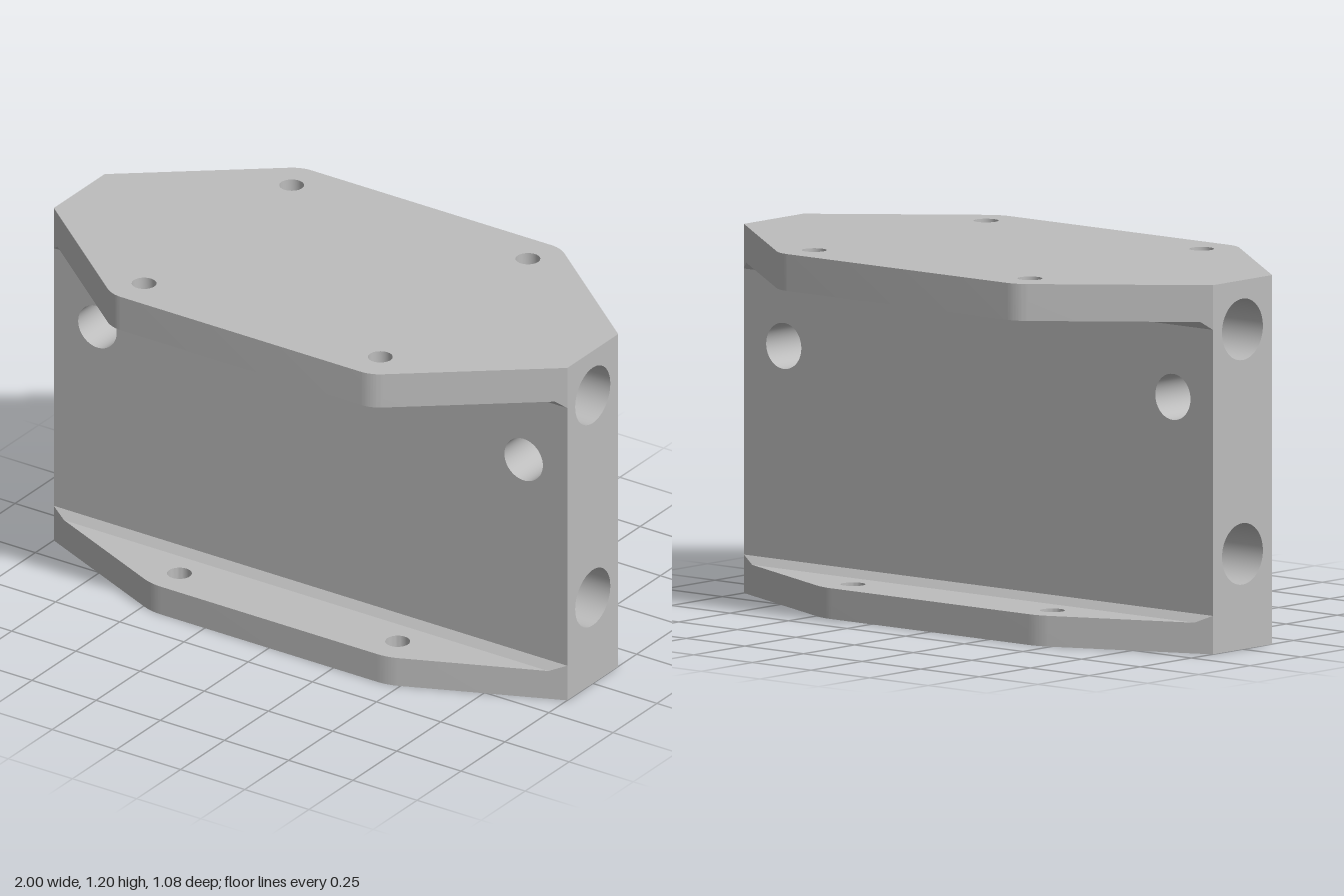
import * as THREE from 'three';
import { toCreasedNormals } from 'three/addons/utils/BufferGeometryUtils.js';

const HEIGHT = 1.2, WEB = 0.145, CHAMFER = 0.025;
const TOP = { low: 1.08, high: HEIGHT, corner: 0.505, depth: 0.542, holeX: 0.46, holeZ: 0.42 };
const BOTTOM = { low: 0, high: 0.1, corner: 0.46, depth: 0.382, holeX: 0.425, holeZ: 0.27 };
const CROSS_BORE = { x: 0.83, y: 0.82, r: 0.075 };
const LONG_BORES = [0.31, 1.04], LONG_R = 0.1;

const metal = new THREE.MeshStandardMaterial({ color: 0xbdbdbd });
metal.name = 'light grey metal';
const boreMetal = new THREE.MeshStandardMaterial({ color: 0xbdbdbd, side: THREE.DoubleSide });
boreMetal.name = 'light grey bore';

function addMesh(parent, name, geometry, material = metal) {
  const mesh = new THREE.Mesh(geometry, material);
  mesh.name = name;
  parent.add(mesh);
  return mesh;
}

function addHole(shape, x, y, r) {
  const hole = new THREE.Path();
  hole.absarc(x, y, r, 0, Math.PI * 2, true);
  shape.holes.push(hole);
}

function rectangle(x0, y0, x1, y1) {
  return new THREE.Shape([[x0, y0], [x1, y0], [x1, y1], [x0, y1]].map(p => new THREE.Vector2(...p)));
}

// Half of a flange: a trapezoid with two rounded corners and two screw holes
function flangeGeometry({ low, high, corner, depth, holeX, holeZ }) {
  const round = 0.04;
  const slant = new THREE.Vector2(1 - corner, WEB - depth).setLength(round);
  const s = new THREE.Shape();
  s.moveTo(-1, WEB);
  s.lineTo(1, WEB);
  s.lineTo(corner + slant.x, depth + slant.y);
  s.quadraticCurveTo(corner, depth, corner - round, depth);
  s.lineTo(-corner + round, depth);
  s.quadraticCurveTo(-corner, depth, -corner - slant.x, depth + slant.y);
  s.closePath();
  for (const x of [-holeX, holeX]) addHole(s, x, holeZ, 0.04);
  const g = new THREE.ExtrudeGeometry(s, { depth: high - low, bevelEnabled: false, curveSegments: 16 });
  g.rotateX(Math.PI / 2).translate(0, high, 0);
  return toCreasedNormals(g, 0.5);
}

// Triangular strip in the inner corner, its ends cut along the flange outline
function chamferGeometry({ corner, depth }) {
  const e = 1 - CHAMFER * (1 - corner) / (depth - WEB);
  const inner = s => [s, 0, WEB];
  const upper = s => [s, CHAMFER, WEB];
  const outer = s => [s * e, 0, WEB + CHAMFER];
  const points = [
    outer(-1), outer(1), upper(1), outer(-1), upper(1), upper(-1),
    inner(1), upper(1), outer(1), inner(-1), outer(-1), upper(-1),
  ];
  const g = new THREE.BufferGeometry();
  g.setAttribute('position', new THREE.Float32BufferAttribute(points.flat(), 3));
  g.computeVertexNormals();
  return g;
}

// One side of the block; the other is the same turned half way round
function createSide(name) {
  const side = new THREE.Group();
  side.name = name;

  const wall = rectangle(-1, BOTTOM.high, 1, TOP.low);
  for (const x of [-CROSS_BORE.x, CROSS_BORE.x]) addHole(wall, x, CROSS_BORE.y, CROSS_BORE.r);
  addMesh(side, 'webWall', new THREE.ShapeGeometry(wall, 24)).position.z = WEB;

  const end = rectangle(-WEB, 0, WEB, HEIGHT);
  for (const y of LONG_BORES) addHole(end, 0, y, LONG_R);
  addMesh(side, 'webEnd', new THREE.ShapeGeometry(end, 24).rotateY(Math.PI / 2)).position.x = 1;

  addMesh(side, 'topFlange', flangeGeometry(TOP));
  addMesh(side, 'bottomFlange', flangeGeometry(BOTTOM));
  addMesh(side, 'bottomChamfer', chamferGeometry(BOTTOM)).position.y = BOTTOM.high;
  const topChamfer = addMesh(side, 'topChamfer', chamferGeometry(TOP));
  topChamfer.rotation.z = Math.PI;
  topChamfer.position.y = TOP.low;
  return side;
}

export function createModel() {
  const model = new THREE.Group();
  model.name = 'flangedBlock';

  const front = createSide('frontSide');
  const back = createSide('backSide');
  back.rotation.y = Math.PI;
  model.add(front, back);

  // Strips closing the web between the flange halves
  const strip = () => new THREE.PlaneGeometry(2, WEB * 2);
  addMesh(model, 'topStrip', strip().rotateX(-Math.PI / 2)).position.y = HEIGHT;
  addMesh(model, 'bottomStrip', strip().rotateX(Math.PI / 2));

  // Bore walls running the length of the web and across it
  for (const y of LONG_BORES) {
    const g = new THREE.CylinderGeometry(LONG_R, LONG_R, 2, 48, 1, true).rotateZ(Math.PI / 2);
    addMesh(model, 'longBore', g, boreMetal).position.y = y;
  }
  for (const x of [-CROSS_BORE.x, CROSS_BORE.x]) {
    const g = new THREE.CylinderGeometry(CROSS_BORE.r, CROSS_BORE.r, WEB * 2, 48, 1, true).rotateX(Math.PI / 2);
    addMesh(model, 'crossBore', g, boreMetal).position.set(x, CROSS_BORE.y, 0);
  }
  return model;
}
